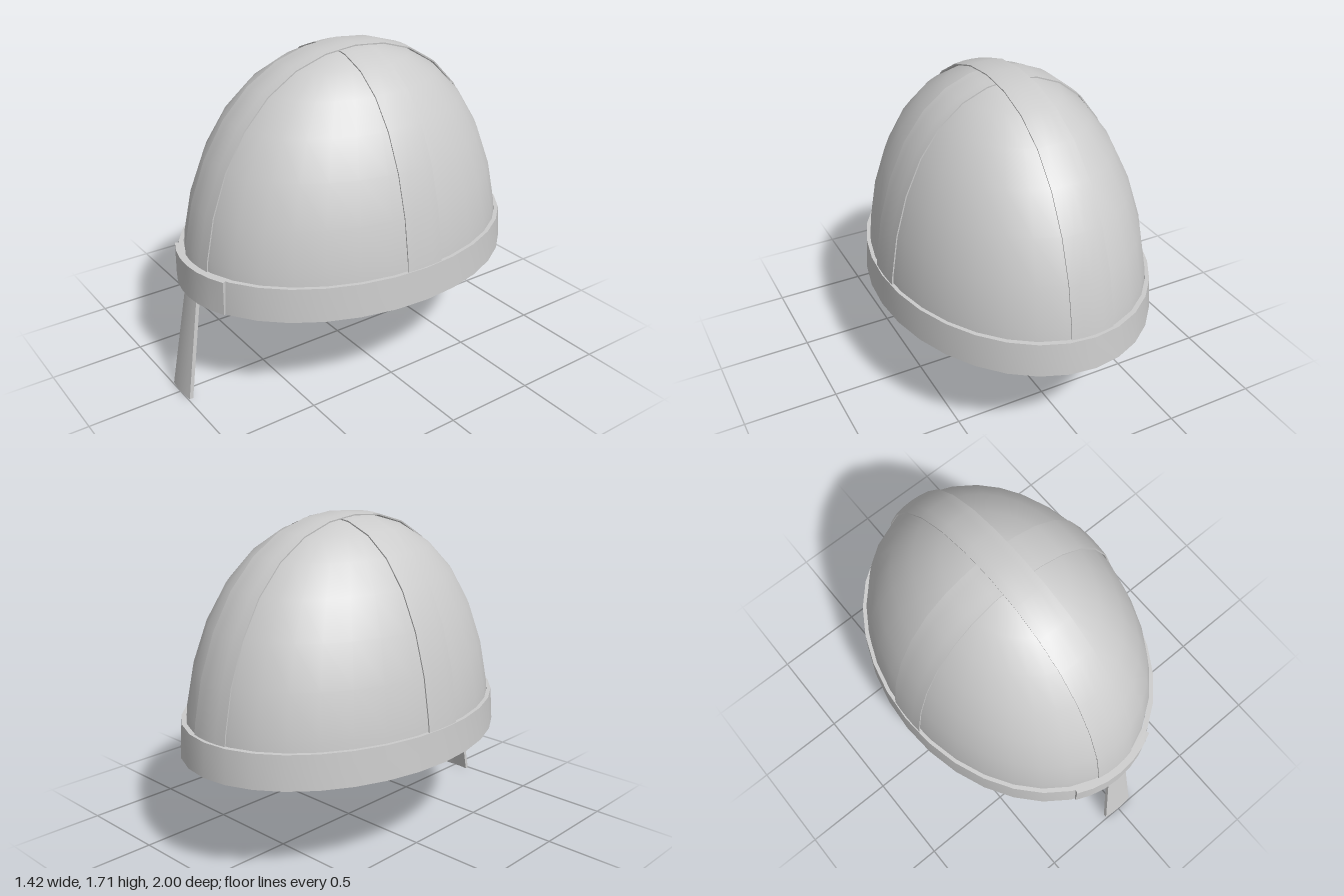
import * as THREE from 'three';
import { toCreasedNormals } from 'three/addons/utils/BufferGeometryUtils.js';

const BASE_Y = 0.54, CENTRE_Z = -0.045;
const steel = new THREE.MeshStandardMaterial({ color: 0xcccccc });
const steelBothSides = new THREE.MeshStandardMaterial({ color: 0xcccccc, side: THREE.DoubleSide });

// The skull is fuller at the shoulders than an ellipsoid, mostly upwards;
// h is the height on the unit sphere.
const fuller = (h, amount) => 1 + amount * h * h * (1 - h * h);
const widen = (h) => fuller(h, 0.06);
const raise = (h) => fuller(h, 0.14);

// A thin closed plate: rule(u, v, depth) places each box vertex, with
// u in -1..1 across, v in 0..1 along, depth 0 outside and 1 inside.
function plate(name, across, along, rule) {
  const geo = new THREE.BoxGeometry(2, 1, 1, across, along, 1);
  const pos = geo.attributes.position;
  for (let i = 0; i < pos.count; i++) {
    pos.setXYZ(i, ...rule(pos.getX(i), pos.getY(i) + 0.5, 0.5 - pos.getZ(i)));
  }
  geo.computeVertexNormals();
  const mesh = new THREE.Mesh(geo, steel);
  mesh.name = name;
  return mesh;
}

// A strap arching over the skull; widths are half-widths at rim and crown.
function strap(name, [acrossR, height, alongR], rimWidth, crownWidth) {
  return plate(name, 4, 16, (u, v, depth) => {
    const angle = Math.min(Math.max(v * Math.PI, 0.06), Math.PI - 0.06);
    const inset = depth * 0.007;
    const half = crownWidth + (rimWidth - crownWidth) * Math.cos(angle) ** 2;
    const s = (u * half) / acrossR;
    const c = Math.sqrt(1 - s * s);
    const h = Math.sin(angle) * c;
    return [
      s * (acrossR - inset),
      BASE_Y + h * raise(h) * (height - inset),
      Math.cos(angle) * c * widen(h) * (alongR - inset),
    ];
  });
}

export function createModel() {
  const helmet = new THREE.Group();
  helmet.name = 'helmet';

  // Everything around the head shares the dome's centre
  const shell = new THREE.Group();
  shell.name = 'shell';
  shell.position.z = CENTRE_Z;
  helmet.add(shell);

  // Rounded skull, open below
  const domeGeo = new THREE.SphereGeometry(1, 32, 8, 0, Math.PI * 2, 0, Math.PI / 2);
  const pos = domeGeo.attributes.position;
  for (let i = 0; i < pos.count; i++) {
    const h = pos.getY(i);
    pos.setXYZ(i, pos.getX(i) * widen(h), h * raise(h), pos.getZ(i) * widen(h));
  }
  domeGeo.scale(0.689, 1.156, 0.919);
  const dome = new THREE.Mesh(domeGeo, steelBothSides);
  dome.name = 'dome';
  dome.position.y = BASE_Y;
  shell.add(dome);

  // Crossed reinforcing straps, the lengthwise one on top
  shell.add(strap('lengthwiseStrap', [0.7, 1.17, 0.93], 0.115, 0.09));
  const crossStrap = strap('crosswiseStrap', [0.93, 1.164, 0.7], 0.105, 0.096);
  crossStrap.rotation.y = Math.PI / 2;
  shell.add(crossStrap);

  // Brow band: slightly flared, closed against the dome above and below
  const ring = [[0.689, 0.54], [0.711, 0.54], [0.7, 0.716], [0.681, 0.716]]
    .map(([r, y]) => new THREE.Vector2(r, y));
  const bandGeo = new THREE.LatheGeometry(ring, 32);
  bandGeo.scale(1, 1, 0.953 / 0.711);
  const band = new THREE.Mesh(toCreasedNormals(bandGeo, 0.6), steelBothSides);
  band.name = 'browBand';
  shell.add(band);

  // Curved plate that fixes the nose guard to the band
  shell.add(plate('nosePlate', 6, 1, (u, v, depth) => {
    const a = u * 0.362;
    const inset = depth * 0.025;
    return [
      Math.sin(a) * (0.72 - inset),
      0.539 + v * 0.178,
      Math.cos(a) * (0.96 - 0.003 * v - inset),
    ];
  }));

  // Nose guard: flares and leans forward toward its lower end
  helmet.add(plate('noseGuard', 6, 1, (u, v, depth) => [
    u * (0.09 - 0.028 * v),
    v * 0.55,
    1 - 0.09 * v - 0.007 * u * u - 0.02 * depth,
  ]));

  return helmet;
}
